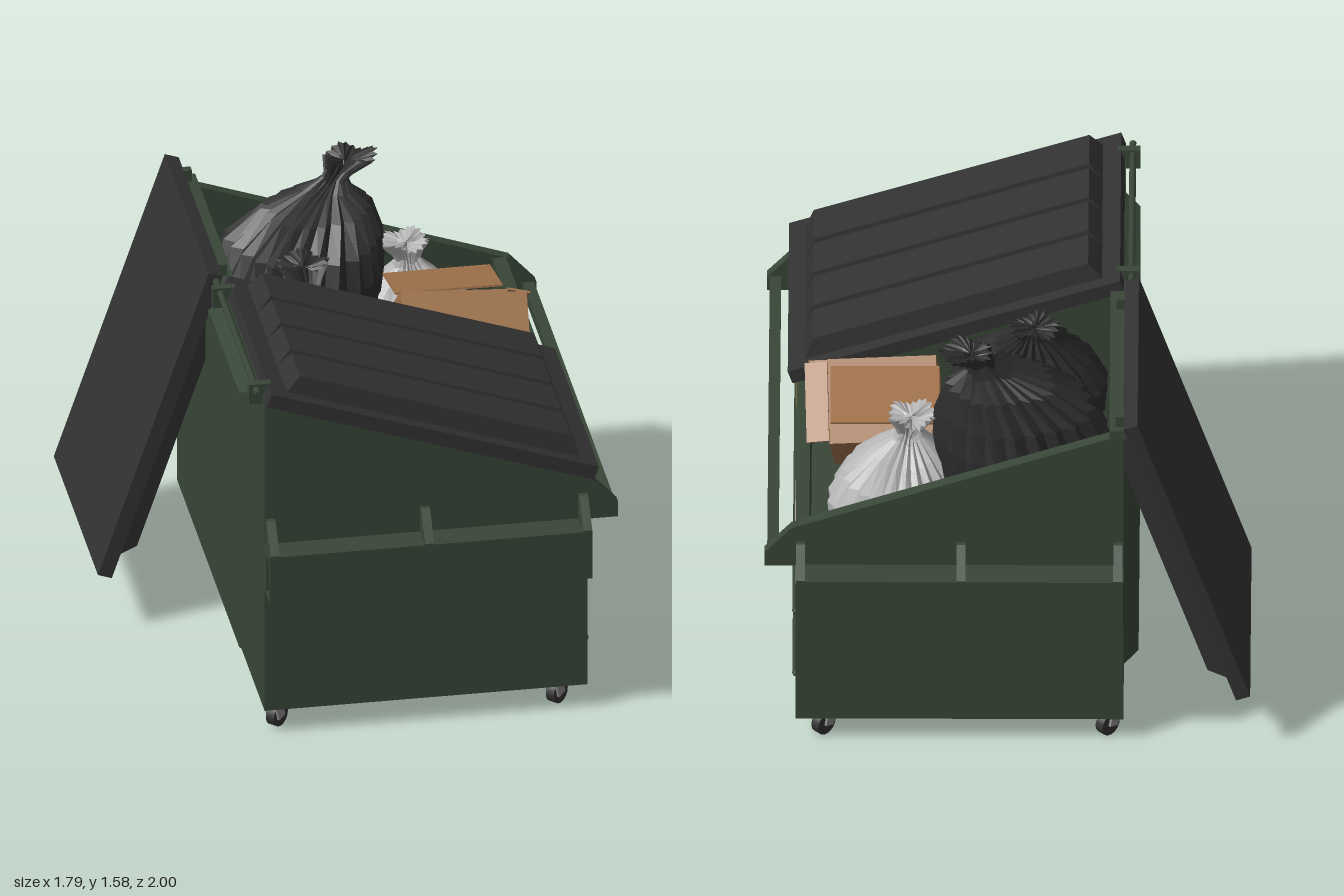
import * as THREE from 'three';

const mat = (name, color) => Object.assign(new THREE.MeshStandardMaterial({ color }), { name });
const M = {
  green: mat('green paint', 0x384637),
  lid: mat('lid plastic', 0x323233),
  black: mat('black bag', 0x2d2d2e),
  white: mat('pale bag', 0xb4b4b4),
  card: mat('cardboard', 0xa0724a),
  yellow: mat('yellow label', 0xcaa72c),
  grey: mat('grey label', 0xa8a2a6),
  steel: mat('caster steel', 0x8c8a8a),
};

export function createModel() {
  const root = new THREE.Group();
  root.name = 'dumpster';

  const add = (name, geo, m, parent = root) => {
    const mesh = new THREE.Mesh(geo, m);
    mesh.name = name;
    parent.add(mesh);
    return mesh;
  };
  // Box given by its minimum and maximum corners
  const box = (name, m, x0, x1, y0, y1, z0, z1, parent = root) => {
    const mesh = add(name, new THREE.BoxGeometry(x1 - x0, y1 - y0, z1 - z0), m, parent);
    mesh.position.set((x0 + x1) / 2, (y0 + y1) / 2, (z0 + z1) / 2);
    return mesh;
  };
  const poly = (pts) => new THREE.Shape(pts.map((p) => new THREE.Vector2(...p)));
  const extrude = (shape, depth) => new THREE.ExtrudeGeometry(shape, { depth, bevelEnabled: false });
  // Profile in (x, y), swept from z0 to z1
  const sweepZ = (name, m, shape, z0, z1) => add(name, extrude(shape, z1 - z0).translate(0, 0, z0), m);
  // Profile in (z, y), swept from x0 to x1
  const sweepX = (name, m, shape, x0, x1) =>
    add(name, extrude(shape, x1 - x0).rotateY(-Math.PI / 2).translate(x1, 0, 0), m);
  // Raised panel: box whose +y face is inset by ix on x and iz on z
  const taper = (w, h, d, ix0, ix1, iz) => {
    const g = new THREE.BoxGeometry(w, h, d).toNonIndexed();
    const p = g.attributes.position;
    for (let i = 0; i < p.count; i++) {
      if (p.getY(i) < 0) continue;
      p.setX(i, p.getX(i) + (p.getX(i) < 0 ? ix0 : -ix1));
      p.setZ(i, p.getZ(i) - Math.sign(p.getZ(i)) * iz);
    }
    g.computeVertexNormals();
    return g;
  };

  // Hollow body with a sloping rim
  const side = poly([[-0.43, 0.1], [0.775, 0.1], [0.775, 0.965], [-0.43, 1.385]]);
  sweepZ('leftWall', M.green, side, 0.845, 0.89);
  sweepZ('rightWall', M.green, side, -0.89, -0.845);
  box('floor', M.green, -0.39, 0.73, 0.1, 0.14, -0.85, 0.85);
  box('frontWall', M.green, 0.725, 0.775, 0.1, 0.967, -0.888, 0.888);
  box('backWall', M.green, -0.43, -0.378, 0.1, 1.4, -0.888, 0.888);
  const backPanel = add('backPanel', taper(1.12, 0.055, 1.42, 0.03, 0.03, 0.05), M.green);
  backPanel.rotation.z = Math.PI / 2;
  backPanel.position.set(-0.457, 0.78, 0);

  // Front ribs, and the guard bar with its end brackets
  for (const y of [0.27, 0.55]) {
    const rib = add('frontRib', new THREE.CapsuleGeometry(0.014, 1.68, 4, 8).rotateX(Math.PI / 2), M.green);
    rib.position.set(0.774, y, 0);
  }
  box('frontBar', M.green, 0.838, 0.88, 0.812, 0.852, -0.87, 0.87);
  const bracket = poly([[0.77, 0.79], [0.89, 0.79], [0.89, 0.85], [0.79, 0.96], [0.77, 0.965]]);
  for (const z of [-0.87, 0.87]) sweepZ('barBracket', M.green, bracket, z - 0.02, z + 0.02);

  // Lifting pockets with gussets on both sides
  for (const s of [-1, 1]) {
    const pocket = poly([[s * 0.888, 0.6], [s, 0.6], [s, 0.795], [s * 0.888, 0.795]]);
    pocket.holes.push(new THREE.Path([[0.92, 0.615], [0.98, 0.615], [0.98, 0.765], [0.92, 0.765]]
      .map(([z, y]) => new THREE.Vector2(s * z, y))));
    sweepX('liftPocket', M.green, pocket, -0.43, 0.775);
    const gusset = poly([[s * 0.888, 0.9], [s * 0.91, 0.9], [s, 0.8], [s, 0.79], [s * 0.888, 0.79]]);
    for (const x of [-0.41, 0.167, 0.757]) sweepX('pocketGusset', M.green, gusset, x - 0.017, x + 0.017);
  }

  // Labels on the front
  box('yellowLabel', M.yellow, 0.774, 0.779, 0.59, 0.78, 0.4, 0.815);
  box('greyLabel', M.grey, 0.774, 0.779, 0.59, 0.78, -0.725, -0.335);
  const stripe = add('labelStripe', new THREE.CapsuleGeometry(0.017, 0.235, 4, 10), M.lid);
  stripe.scale.z = 0.2;
  stripe.rotation.set(Math.PI / 2, 0, Math.PI / 2, 'YXZ');
  stripe.rotation.set(0, Math.PI / 2, Math.PI / 2, 'YZX');
  stripe.position.set(0.779, 0.635, -0.51);

  // Hinge rod and lugs
  const rod = add('hingeRod', new THREE.CylinderGeometry(0.013, 0.013, 1.8, 10).rotateX(Math.PI / 2), M.green);
  rod.position.set(-0.455, 1.425, 0);
  for (const z of [-0.845, -0.1, 0.08, 0.84]) box('hingeLug', M.green, -0.483, -0.4, 1.365, 1.445, z - 0.016, z + 0.016);

  // Lid: flat slab with four raised panels, hinged at its local origin
  const makeLid = (name, x, y, angle, z0) => {
    const lid = new THREE.Group();
    lid.name = name;
    box('lidSlab', M.lid, 0, 1.29, 0, 0.055, 0, 0.94, lid);
    for (let i = 0; i < 4; i++) {
      const panel = add('lidPanel', taper(1.155, 0.07, 0.21, 0.03, 0.055, 0.014), M.lid, lid);
      panel.position.set(0.6475, 0.09, 0.155 + i * 0.21);
    }
    lid.position.set(x, y, z0);
    lid.rotation.z = angle;
    root.add(lid);
  };
  makeLid('closedLid', -0.43, 1.392, -0.327, 0);
  makeLid('openLid', -0.482, 1.462, -0.327 + Math.PI * 1.5, -0.94);

  // Swivel casters
  for (const x of [-0.38, 0.665]) for (const z of [-0.825, 0.825]) {
    const caster = new THREE.Group();
    caster.name = 'caster';
    const wheel = add('wheel', new THREE.CylinderGeometry(0.045, 0.045, 0.036, 16).rotateX(Math.PI / 2), M.lid, caster);
    wheel.position.set(0.012, 0.045, 0);
    for (const s of [-1, 1]) {
      const fork = box('forkArm', M.steel, -0.02, 0.02, 0.04, 0.09, s * 0.024 - 0.005, s * 0.024 + 0.005, caster);
      fork.rotation.z = 0.25;
    }
    box('forkTop', M.steel, -0.032, 0.018, 0.083, 0.102, -0.03, 0.03, caster);
    caster.position.set(x, 0, z);
    caster.rotation.y = Math.PI / 4;
    root.add(caster);
  }

  // Tied bag: pleated lathe whose neck leans aside; sizes are for a body radius of 1
  const makeBag = (name, m, profile, [x, y, z], [rx, rz], [leanX, leanZ], phase) => {
    const pts = profile.map((p) => new THREE.Vector2(...p));
    const top = pts[pts.length - 1].y;
    const g = new THREE.LatheGeometry(pts, 44);
    const p = g.attributes.position;
    for (let i = 0; i < p.count; i++) {
      const a = Math.atan2(p.getX(i), p.getZ(i)), h = p.getY(i);
      const t = Math.max(0, h / top);
      const pleat = 1 + Math.cos(22 * a) * (0.025 + 0.09 * t)
        + 0.035 * Math.sin(3 * a + phase + h * 4) + 0.025 * Math.sin(5 * a - phase * 2);
      p.setXYZ(i, p.getX(i) * pleat * rx + leanX * t * t,
        h + 0.012 * Math.sin(4 * a + phase) * t, p.getZ(i) * pleat * rz + leanZ * t * t);
    }
    const flat = g.toNonIndexed();
    flat.computeVertexNormals();
    add(name, flat, m).position.set(x, y, z);
  };
  const round = [[0.02, -0.28], [0.65, -0.25], [0.95, -0.13], [1, 0.02], [0.88, 0.14], [0.6, 0.25],
    [0.27, 0.31], [0.14, 0.35], [0.16, 0.375], [0.29, 0.425], [0.12, 0.41], [0.01, 0.4]];
  const cone = [[0.02, -0.28], [0.65, -0.25], [0.95, -0.12], [1, 0], [0.8, 0.1], [0.45, 0.2],
    [0.2, 0.265], [0.15, 0.29], [0.2, 0.32], [0.31, 0.365], [0.12, 0.35], [0.01, 0.345]];
  makeBag('largeBlackBag', M.black, round, [-0.05, 1.145, -0.53], [0.315, 0.275], [0.18, -0.08], 0.6);
  makeBag('smallBlackBag', M.black, cone, [-0.08, 1.01, 0.0], [0.285, 0.26], [-0.02, -0.17], 2.1);
  makeBag('paleBag', M.white, cone, [0.38, 0.87, -0.55], [0.27, 0.285], [-0.03, 0], 4);

  // Tilted cardboard box with open flaps
  const carton = new THREE.Group();
  carton.name = 'cardboardBox';
  box('carton', M.card, -0.2, 0.2, -0.16, 0.16, -0.16, 0.16, carton);
  const flap = box('endFlap', M.card, 0.2, 0.285, 0.152, 0.16, -0.15, 0.15, carton);
  flap.rotation.z = -0.2;
  box('sideFlap', M.card, 0.2, 0.27, -0.15, 0.15, 0.152, 0.16, carton);
  carton.position.set(0.45, 0.99, -0.18);
  carton.rotation.set(-0.72, 0.03, -0.05);
  root.add(carton);
  const longFlap = box('longFlap', M.card, 0.25, 0.65, 1.165, 1.173, -0.48, -0.2);
  longFlap.rotation.x = -0.22;

  return root;
}
